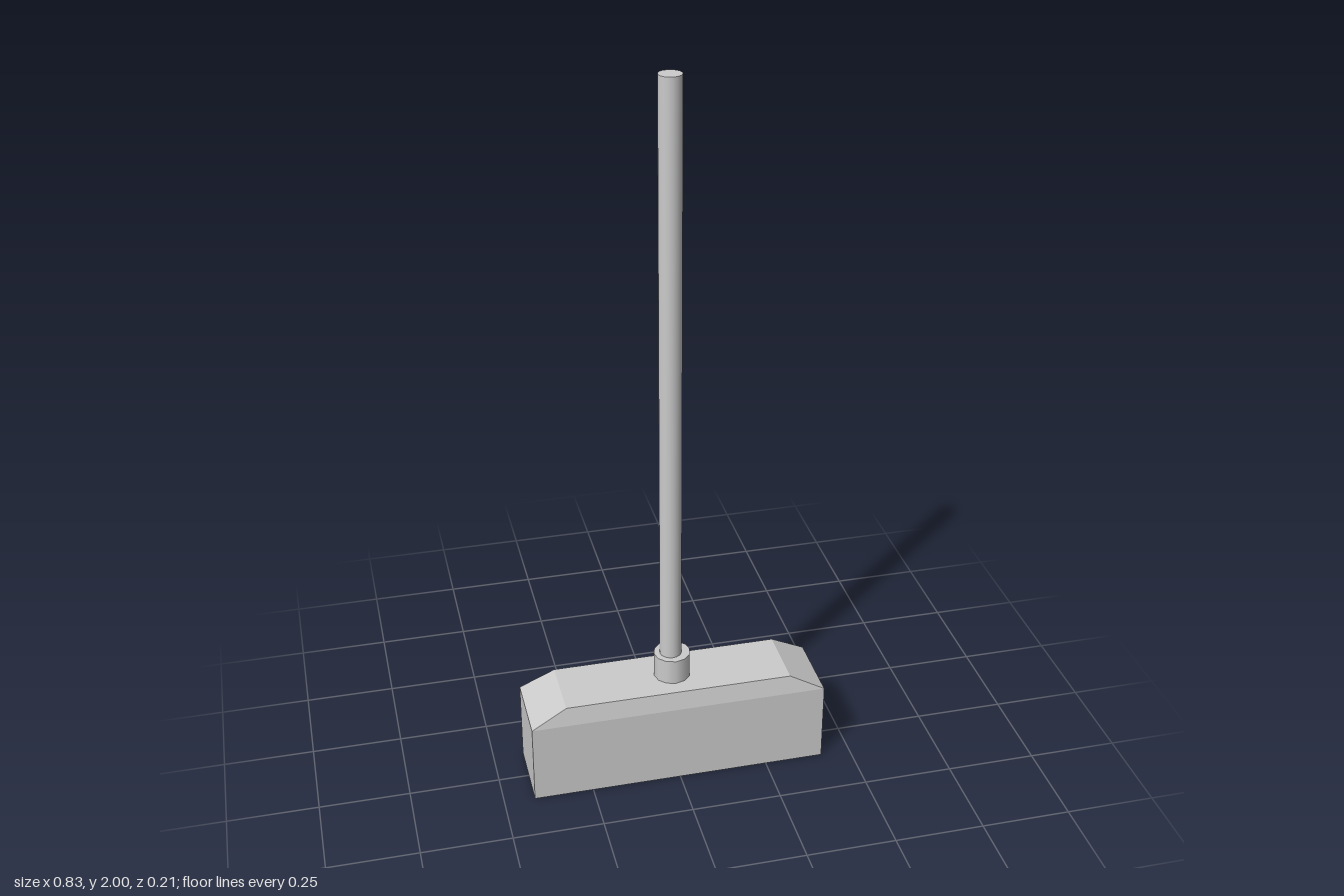
import * as THREE from 'three';

const HALF_X = 0.415, HALF_Z = 0.103;   // footprint of the head
const SHOULDER = 0.233, HEAD_TOP = 0.285, COLLAR_TOP = 0.358, TOP = 2;

export function createModel() {
  const group = new THREE.Group();
  const flat = new THREE.MeshStandardMaterial({ color: 0xcccccc, flatShading: true });
  const smooth = new THREE.MeshStandardMaterial({ color: 0xcccccc });

  const add = (name, geometry, material, x, bottom, top) => {
    const mesh = new THREE.Mesh(geometry, material);
    mesh.name = name;
    mesh.position.set(x, (bottom + top) / 2, 0);
    group.add(mesh);
  };

  // Block of bristles
  add('bristles', new THREE.BoxGeometry(HALF_X * 2, SHOULDER, HALF_Z * 2), flat, 0, 0, SHOULDER);

  // Head cap: a box whose top corners are drawn inward
  const cap = new THREE.BoxGeometry(HALF_X * 2, HEAD_TOP - SHOULDER, HALF_Z * 2);
  const p = cap.attributes.position;
  for (let i = 0; i < p.count; i++) {
    if (p.getY(i) > 0) {
      p.setX(i, Math.sign(p.getX(i)) * 0.317);
      p.setZ(i, Math.sign(p.getZ(i)) * 0.092);
    }
  }
  cap.computeVertexNormals();
  add('headCap', cap, flat, 0, SHOULDER, HEAD_TOP);

  // Collar and handle
  add('collar', new THREE.CylinderGeometry(0.051, 0.051, COLLAR_TOP - HEAD_TOP, 12), smooth, 0, HEAD_TOP, COLLAR_TOP);
  add('handle', new THREE.CylinderGeometry(0.0305, 0.0305, TOP - HEAD_TOP, 16), smooth, -0.004, HEAD_TOP, TOP);

  return group;
}
